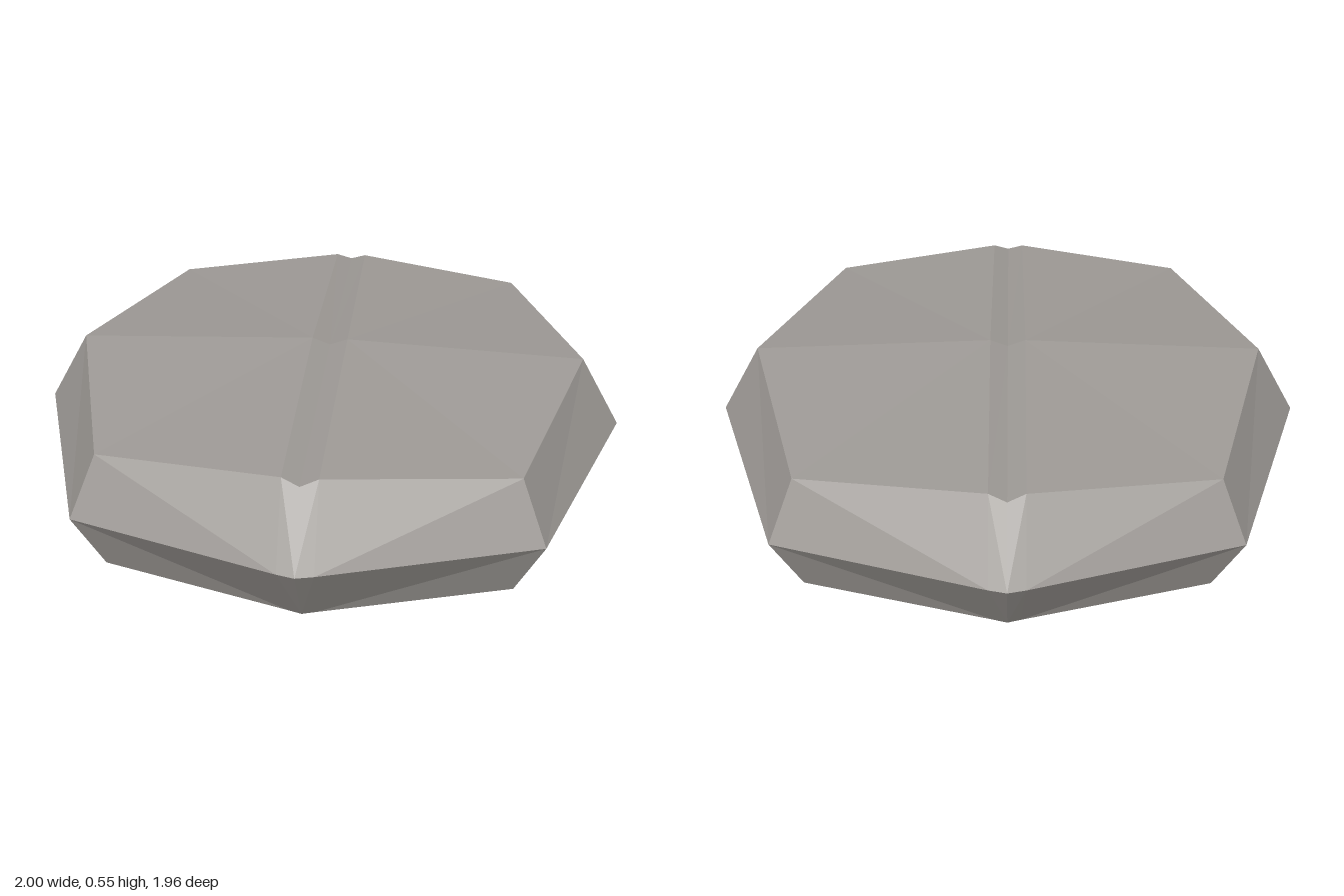
import * as THREE from 'three';

// One quarter of the stone: columns run from the side (+x) round to the front (+z).
const rings = {
  bottom: [[0.86, 0.04, 0], [0.64, 0.08, 0.70], [0.04, 0.04, 0.826], [0, 0.038, 0.836]],
  middle: [[1, 0.283, 0], [0.72, 0.283, 0.76], [0.055, 0.283, 0.965], [0, 0.283, 0.978]],
  top: [[0.86, 0.525, 0], [0.64, 0.485, 0.70], [0.055, 0.524, 0.825], [0, 0.503, 0.838]],
};
const ridge = [0.06, 0.558, 0];    // edge of the groove at the centre
const groove = [0, 0.535, 0];      // floor of the groove at the centre
const base = [0, 0.004, 0];        // lowest point

function quarterFaces() {
  const { bottom: b, middle: m, top: t } = rings;
  const faces = [];
  for (let i = 0; i < 3; i++) {
    const j = i + 1;
    faces.push([b[j], b[i], m[i], m[j]], [m[j], m[i], t[i], t[j]]);
  }
  faces.push([ridge, t[2], t[1], t[0]]);      // gently sloping top
  faces.push([groove, t[3], t[2], ridge]);    // wall of the groove
  faces.push([base, b[0], b[1], b[2], b[3]]); // underside
  return faces;
}

function stoneGeometry() {
  const positions = [];
  // Mirror the quarter into all four quadrants, keeping faces outward
  for (const sx of [1, -1]) {
    for (const sz of [1, -1]) {
      for (const face of quarterFaces()) {
        const ring = face.map(([x, y, z]) => [x * sx, y, z * sz]);
        if (sx * sz < 0) ring.reverse();
        // Keep the fan centred on the same corner after reversing
        if (sx * sz < 0) ring.unshift(ring.pop());
        for (let i = 1; i < ring.length - 1; i++) {
          positions.push(...ring[0], ...ring[i], ...ring[i + 1]);
        }
      }
    }
  }
  const geometry = new THREE.BufferGeometry();
  geometry.setAttribute('position', new THREE.Float32BufferAttribute(positions, 3));
  geometry.computeVertexNormals();
  return geometry;
}

export function createModel() {
  const model = new THREE.Group();
  model.name = 'groovedStone';

  const stoneGrey = new THREE.MeshStandardMaterial({ color: 0xa09c98, flatShading: true });
  stoneGrey.name = 'stoneGrey';

  const stone = new THREE.Mesh(stoneGeometry(), stoneGrey);
  stone.name = 'stone';
  model.add(stone);
  return model;
}
